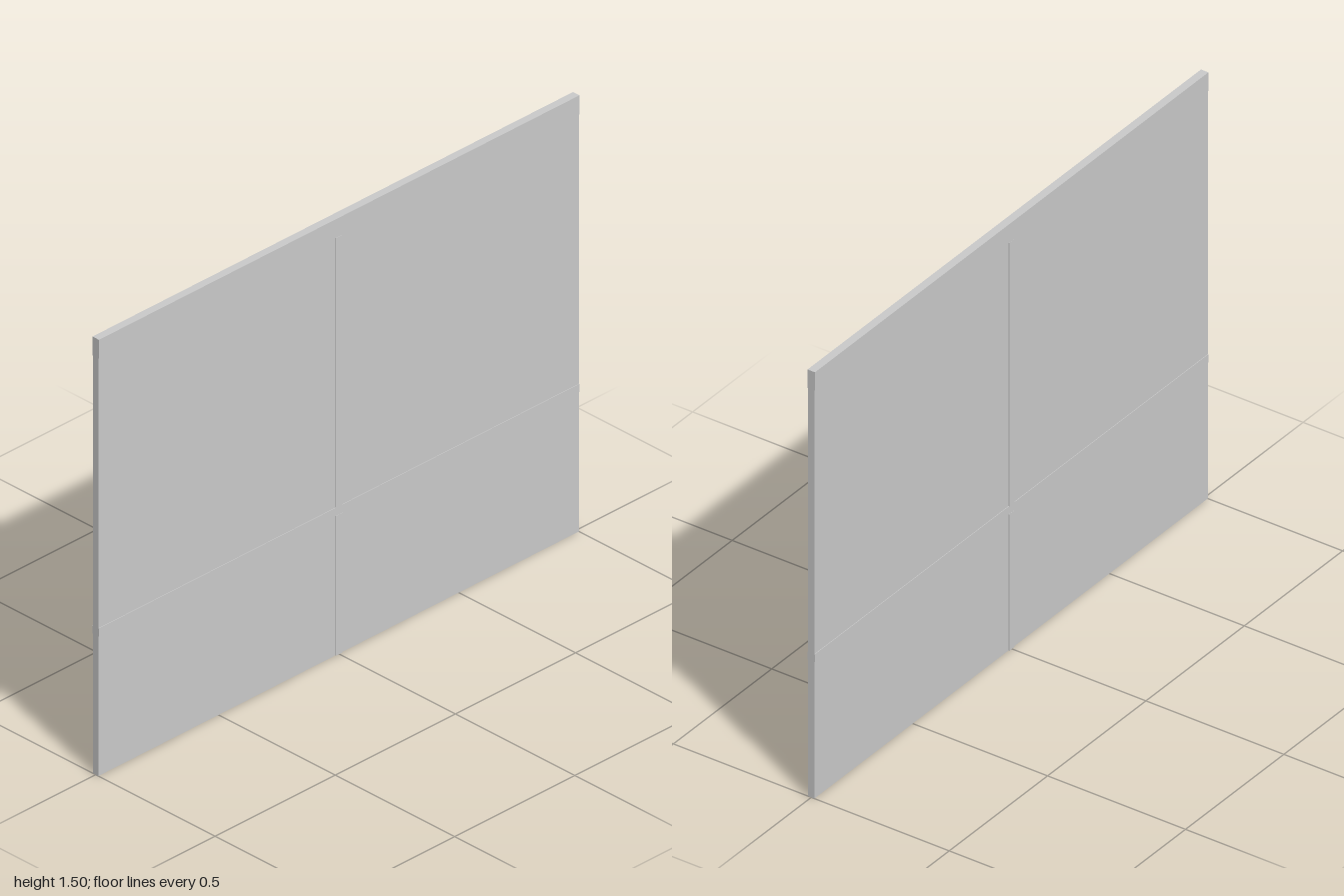
import * as THREE from 'three';

const material = new THREE.MeshStandardMaterial({ color: 0xcccccc, flatShading: true });

export function createModel() {
  const group = new THREE.Group();
  group.name = 'partitionWall';

  // Box given by its thickness in x and its ranges in y and z
  function slab(name, thickness, y0, y1, z0, z1) {
    const mesh = new THREE.Mesh(new THREE.BoxGeometry(thickness, y1 - y0, z1 - z0), material);
    mesh.name = name;
    mesh.position.set(0, (y0 + y1) / 2, (z0 + z1) / 2);
    group.add(mesh);
  }

  const railBottom = 1.435, midLow = 0.48, midHigh = 0.508, stile = 0.013;

  // Four infill panels and two halves of each horizontal rail
  for (const [side, z0, z1] of [['Back', -1, 0], ['Front', 0, 1]]) {
    slab('lowerPanel' + side, 0.022, 0, midLow, z0, z1);
    slab('upperPanel' + side, 0.022, midHigh, railBottom, z0, z1);
    slab('middleRail' + side, 0.026, midLow, midHigh, z0, z1);
    slab('topRail' + side, 0.027, railBottom, 1.5, z0, z1);
  }

  // Centre joint strips, interrupted by the rails
  slab('lowerJointStrip', 0.028, 0, midLow, -stile, stile);
  slab('upperJointStrip', 0.028, midHigh, railBottom, -stile, stile);

  return group;
}
